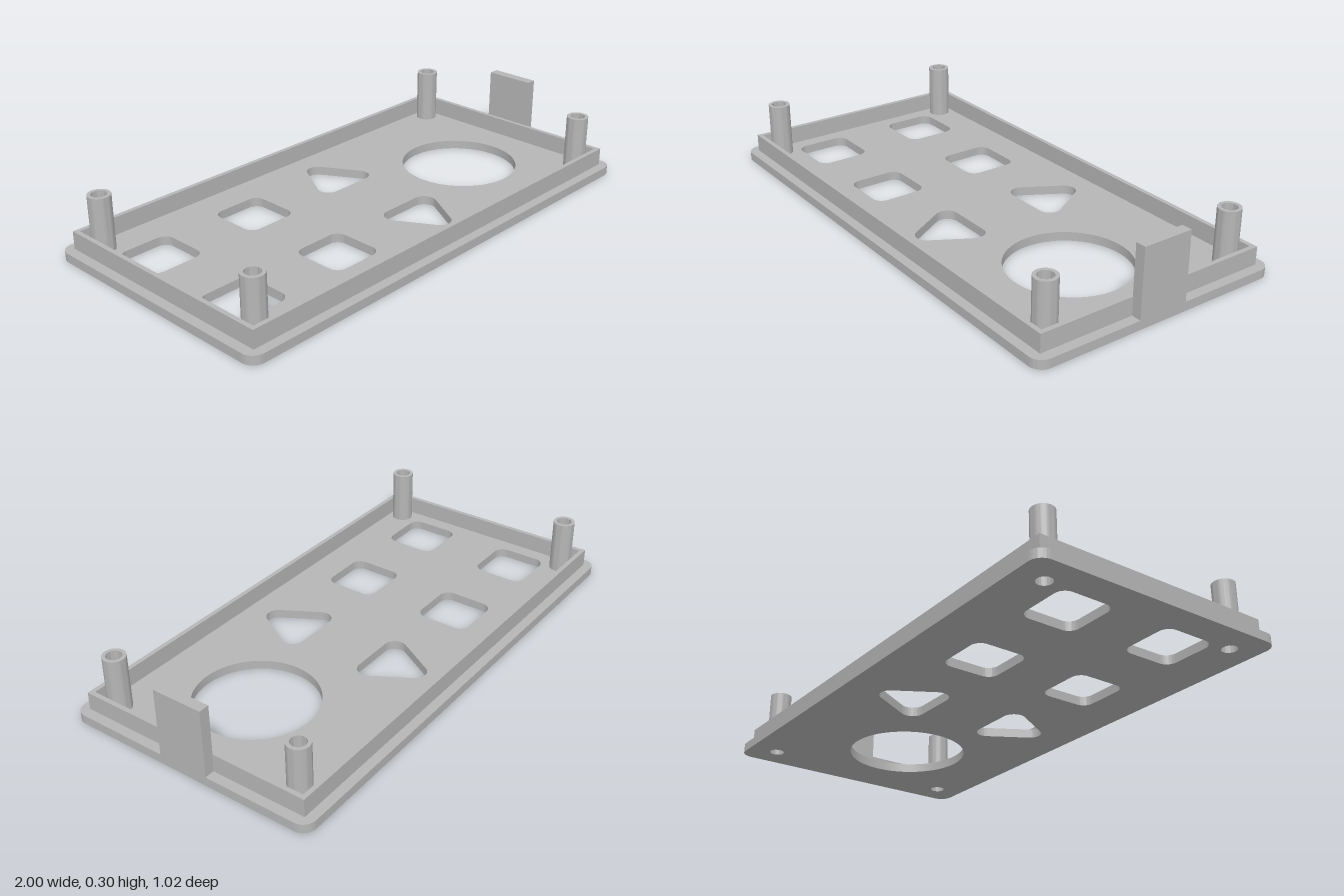
import * as THREE from 'three';
import { toCreasedNormals } from 'three/addons/utils/BufferGeometryUtils.js';

const BASE = 0.035; // thickness of the plate

// Rounded polygon around (cx, cz): arcs of radius r about each corner point, joined by straight sides
function rounded(path, cx, cz, corners, r) {
  const n = corners.length;
  corners.forEach(([x, z], i) => {
    const [px, pz] = corners[(i + n - 1) % n];
    const [nx, nz] = corners[(i + 1) % n];
    const a = Math.atan2(z - pz, x - px) - Math.PI / 2;
    const b = Math.atan2(nz - z, nx - x) - Math.PI / 2;
    path.absarc(cx + x, -cz + z, r, a, b, false);
  });
  path.closePath();
  return path;
}

function roundedRect(path, cx, cz, w, d, r) {
  const x = w / 2 - r, z = d / 2 - r;
  return rounded(path, cx, cz, [[-x, -z], [x, -z], [x, z], [-x, z]], r);
}

// Rounded triangle; dir = 1 points to the back, -1 to the front
function triangle(cx, cz, dir) {
  const h = 0.084, t = 0.145;
  const pts = dir > 0 ? [[-h, 0], [h, 0], [0, t]] : [[h, 0], [-h, 0], [0, -t]];
  return rounded(new THREE.Path(), cx, cz, pts, 0.045);
}

function circle(path, x, z, r) {
  path.absarc(x, -z, r, 0, Math.PI * 2, false);
  return path;
}

function rectangle(path, w, d) {
  path.moveTo(-w / 2, -d / 2);
  path.lineTo(w / 2, -d / 2);
  path.lineTo(w / 2, d / 2);
  path.lineTo(-w / 2, d / 2);
  path.closePath();
  return path;
}

// Raise a plan outline from y0 to y1
function raise(shape, y0, y1, segments = 12) {
  const g = new THREE.ExtrudeGeometry(shape, { depth: y1 - y0, bevelEnabled: false, curveSegments: segments });
  g.rotateX(-Math.PI / 2);
  g.translate(0, y0, 0);
  return toCreasedNormals(g, 0.6);
}

export function createModel() {
  const group = new THREE.Group();
  const grey = new THREE.MeshStandardMaterial({ color: 0xb6b6b6 });
  grey.name = 'greyPlastic';

  const add = (name, geometry) => {
    const mesh = new THREE.Mesh(geometry, grey);
    mesh.name = name;
    group.add(mesh);
    return mesh;
  };

  const posts = [];
  for (const x of [-0.887, 0.887]) for (const z of [-0.4, 0.4]) posts.push([x, z]);

  // Face plate with all its openings
  const plate = roundedRect(new THREE.Shape(), 0, 0, 2, 1.025, 0.05);
  for (const x of [-0.776, -0.332])
    for (const z of [-0.22, 0.22]) plate.holes.push(roundedRect(new THREE.Path(), x, z, 0.218, 0.216, 0.04));
  plate.holes.push(triangle(0.11, -0.178, 1), triangle(0.11, 0.178, -1));
  plate.holes.push(circle(new THREE.Path(), 0.576, 0.041, 0.234));
  for (const [x, z] of posts) plate.holes.push(circle(new THREE.Path(), x, z, 0.029));
  add('facePlate', raise(plate, 0, BASE, 32));

  // Upright rim set in from the plate edge
  const rim = rectangle(new THREE.Shape(), 1.922, 0.95);
  rim.holes.push(rectangle(new THREE.Path(), 1.886, 0.914));
  add('rim', raise(rim, BASE, 0.105));

  // Hollow screw posts
  const tube = circle(new THREE.Shape(), 0, 0, 0.043);
  tube.holes.push(circle(new THREE.Path(), 0, 0, 0.029));
  const postGeometry = raise(tube, BASE, 0.25, 32);
  for (const [x, z] of posts) add('screwPost', postGeometry).position.set(x, 0, z);

  // Tall tab on the left edge
  const tab = new THREE.BoxGeometry(0.041, 0.3 - BASE, 0.2);
  tab.translate(0.9795, (0.3 + BASE) / 2, 0);
  add('tab', tab);

  return group;
}
